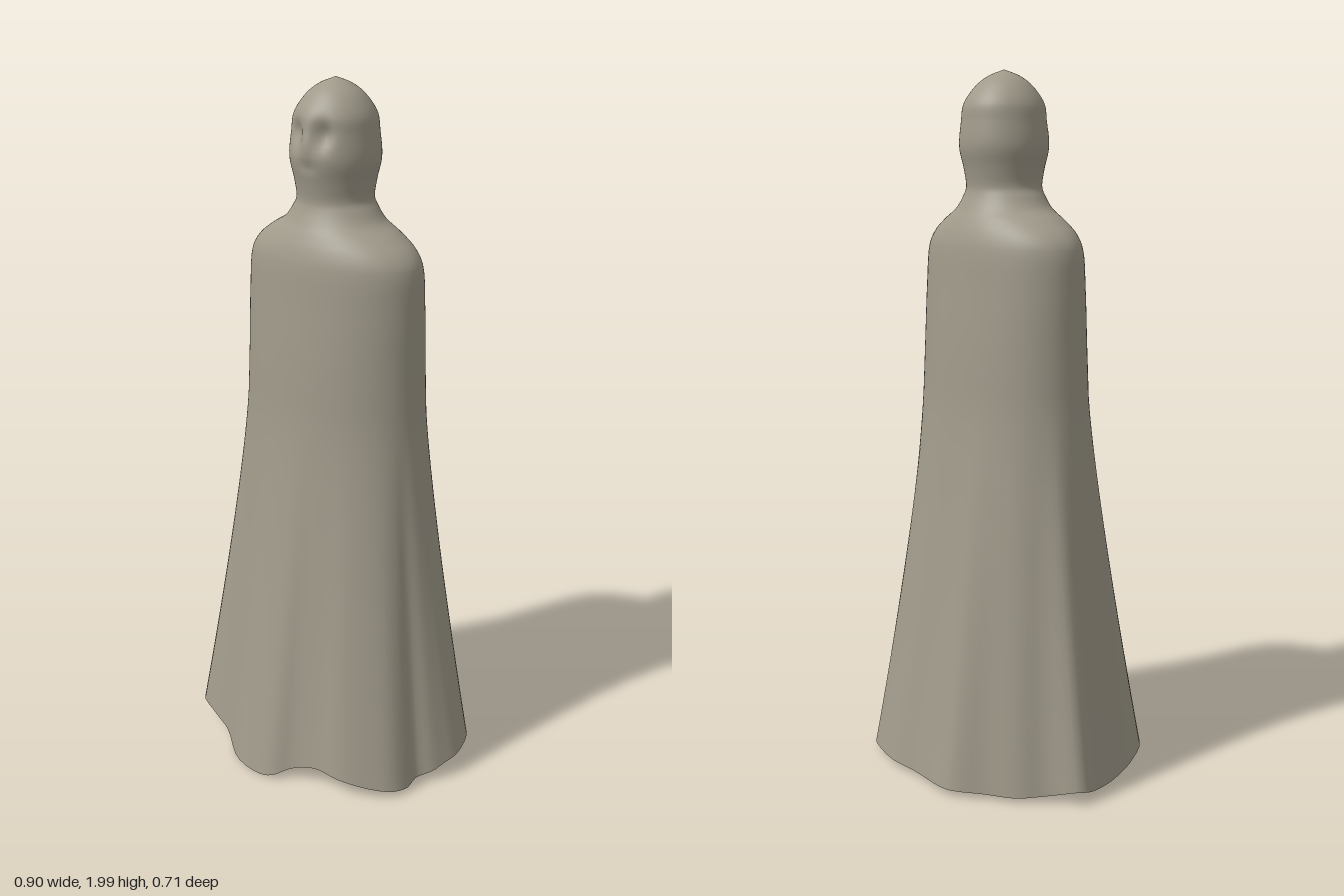
import * as THREE from 'three';

const cloth = new THREE.MeshStandardMaterial({ color: 0xa09a8a });
cloth.name = 'greyCloth';
const dark = new THREE.MeshStandardMaterial({ color: 0x222222 });
dark.name = 'darkLegs';

const SEGMENTS = 112;
const WAIST = 1.1;

// Wavy hem, anticlockwise from the left side: x, y, z
const hem = new THREE.CatmullRomCurve3([
  [0.445, 0.07, -0.03], [0.435, 0.06, 0.01], [0.42, 0.045, 0.05], [0.39, 0.03, 0.09], [0.396, 0.025, 0.14],
  [0.38, 0.03, 0.19], [0.33, 0.04, 0.235], [0.25, 0.06, 0.28], [0.17, 0.068, 0.289], [0.1, 0.05, 0.31],
  [0.05, 0.022, 0.345], [0, 0.012, 0.352], [-0.1, 0.015, 0.335], [-0.2, 0.04, 0.272], [-0.27, 0.056, 0.25],
  [-0.35, 0.07, 0.22], [-0.38, 0.04, 0.15], [-0.405, 0.025, 0.06], [-0.42, 0.025, 0], [-0.45, 0.045, -0.08],
  [-0.44, 0.05, -0.115], [-0.37, 0.03, -0.165], [-0.32, 0.025, -0.23], [-0.24, 0.025, -0.285], [-0.175, 0.03, -0.345],
  [-0.13, 0.03, -0.355], [0, 0.025, -0.343], [0.09, 0.03, -0.353], [0.18, 0.03, -0.335], [0.25, 0.03, -0.305],
  [0.3, 0.045, -0.22], [0.35, 0.06, -0.185], [0.4, 0.075, -0.15], [0.435, 0.082, -0.09],
].map((p) => new THREE.Vector3(...p)), true).getPoints(SEGMENTS).slice(0, SEGMENTS);

// Head, neck and shoulders: half width, height, half depth
const upper = new THREE.CatmullRomCurve3([
  [0, 2, 0], [0.045, 1.982, 0.045], [0.08, 1.955, 0.08], [0.112, 1.905, 0.115], [0.119, 1.86, 0.121],
  [0.125, 1.79, 0.126], [0.113, 1.73, 0.113], [0.108, 1.68, 0.106], [0.122, 1.655, 0.111], [0.148, 1.622, 0.125],
  [0.2, 1.592, 0.14], [0.25, 1.555, 0.155], [0.275, 1.515, 0.164], [0.284, 1.4, 0.173], [0.286, 1.25, 0.184],
  [0.291, WAIST, 0.192],
].map((p) => new THREE.Vector3(...p))).getPoints(75);

const bump = (x, y, cx, cy, w, h) => Math.exp(-(((x - cx) / w) ** 2) - ((y - cy) / h) ** 2);

// Hollow of the eyes and mouth, and a slight nose, pressed into the front
function faceOffset(x, y) {
  return -0.02 * bump(x, y, 0.045, 1.86, 0.024, 0.035) - 0.02 * bump(x, y, -0.045, 1.86, 0.024, 0.035)
    + 0.006 * bump(x, y, 0, 1.835, 0.018, 0.035) - 0.006 * bump(x, y, 0, 1.775, 0.035, 0.014);
}

// One ring of the upper body, inset for the inner layer
function upperRing(p, inset) {
  return hem.map((h) => {
    const a = Math.atan2(h.z / 0.352, h.x / 0.435);
    const x = Math.max(p.x - inset, 0) * Math.cos(a);
    let z = Math.max(p.z - inset, 0) * Math.sin(a) - 0.008;
    if (z > 0.02 && inset === 0) z += faceOffset(x, p.y);
    return new THREE.Vector3(x, p.y, z);
  });
}

// One ring of the skirt, easing from the waist ellipse to the wavy hem
function skirtRing(u, inset) {
  const waist = upperRing(upper[upper.length - 1], 0);
  return hem.map((h, j) => {
    const p = waist[j].clone().lerp(h, Math.pow(u, 1.2));
    p.y = THREE.MathUtils.lerp(WAIST, h.y, u);
    const r = Math.hypot(p.x, p.z);
    p.x *= 1 - inset / r;
    p.z *= 1 - inset / r;
    return p;
  });
}

function loft(rings) {
  const positions = rings.flat().flatMap((p) => [p.x, p.y, p.z]);
  const index = [];
  for (let i = 0; i < rings.length - 1; i++) {
    for (let j = 0; j < SEGMENTS; j++) {
      const k = (j + 1) % SEGMENTS;
      const a = i * SEGMENTS + j, b = i * SEGMENTS + k;
      const c = a + SEGMENTS, d = b + SEGMENTS;
      index.push(a, b, c, b, d, c);
    }
  }
  const geometry = new THREE.BufferGeometry();
  geometry.setAttribute('position', new THREE.Float32BufferAttribute(positions, 3));
  geometry.setIndex(index);
  geometry.computeVertexNormals();
  return geometry;
}

export function createModel() {
  const group = new THREE.Group();
  group.name = 'cloakedFigure';
  const steps = Array.from({ length: 24 }, (_, i) => (i + 1) / 24);

  // Outer cloak with hood
  const outer = [...upper.map((p) => upperRing(p, 0)), ...steps.map((u) => skirtRing(u, 0))];
  const cloak = new THREE.Mesh(loft(outer), cloth);
  cloak.name = 'cloak';
  group.add(cloak);

  // Inner lining, running from the hem up to the shoulders
  const shoulders = upper.filter((p) => p.y < 1.6).reverse();
  const inner = [
    ...[...steps].reverse().map((u) => skirtRing(u, 0.01)),
    ...shoulders.map((p) => upperRing(p, 0.01)),
    upperRing(new THREE.Vector3(0, 1.62, 0), 0.01),
  ];
  const lining = new THREE.Mesh(loft(inner), cloth);
  lining.name = 'lining';
  group.add(lining);

  // Narrow rim joining both layers
  const rim = new THREE.Mesh(loft([skirtRing(1, 0), skirtRing(1, 0.01)]), cloth);
  rim.name = 'hemRim';
  group.add(rim);

  // Legs under the cloak
  for (const side of [1, -1]) {
    const leg = new THREE.Mesh(new THREE.CapsuleGeometry(0.036, 0.85, 6, 16), dark);
    leg.name = side > 0 ? 'leftLeg' : 'rightLeg';
    leg.position.set(side * 0.1, 0.505, 0);
    group.add(leg);
  }
  return group;
}
